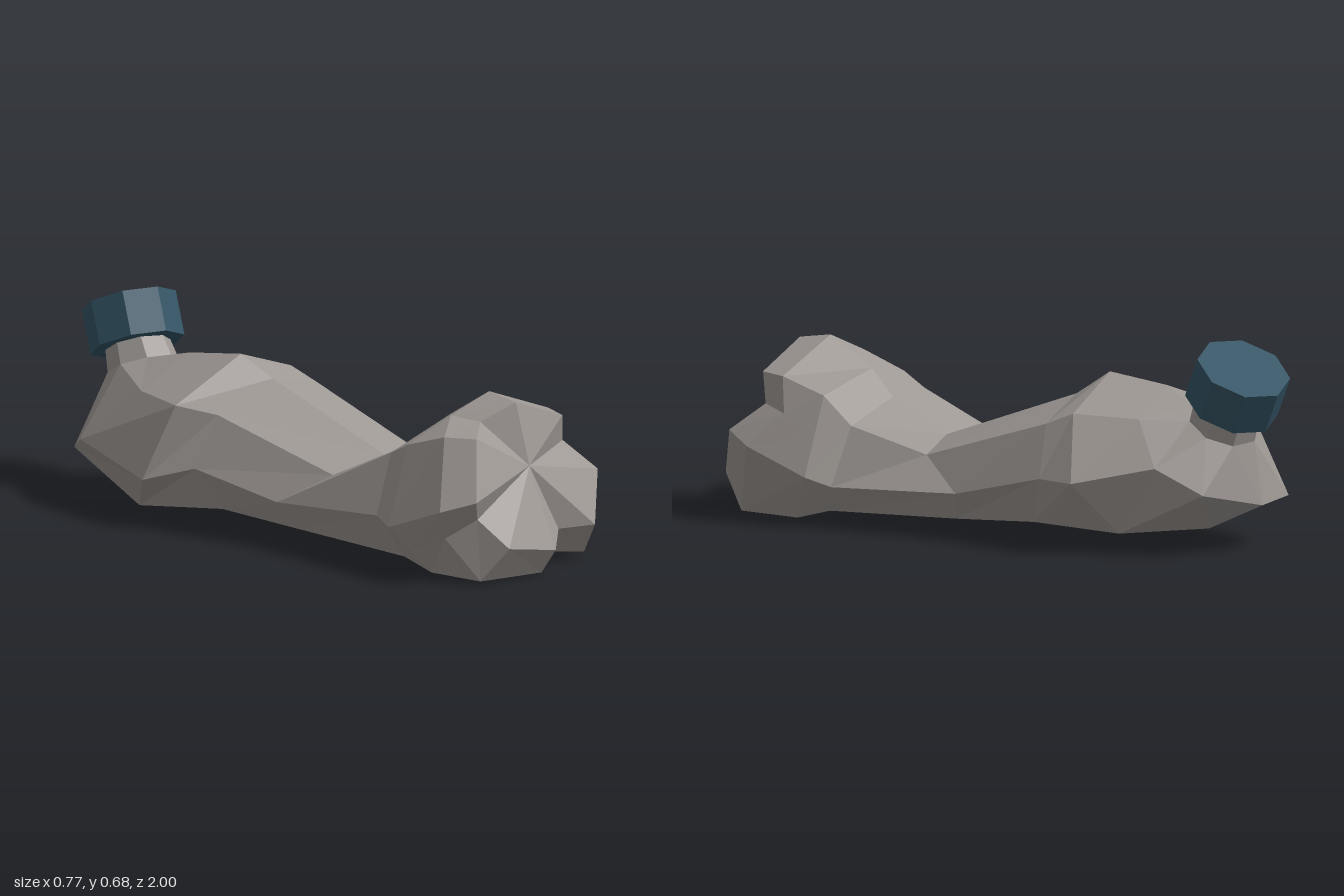
import * as THREE from 'three';

const lerp = THREE.MathUtils.lerp;
const points = (list) => list.map((p) => new THREE.Vector3(...p));

// One body cross-section of 8 points: top, then clockwise seen from the front.
// z and y: top, shoulder, side, lower, bottom; half-widths: shoulder, side, lower.
function section([zT, zU, zS, zD, zB], [yT, yU, yS, yD, yB], [wU, wS, wD], leftShift = 0, cx = 0.012) {
  return points([
    [cx, yT, zT], [cx + wU, yU, zU], [cx + wS, yS, zS], [cx + wD, yD, zD],
    [cx, yB, zB], [cx - wD, yD, zD], [cx - wS, yS + leftShift, zS], [cx - wU, yU + leftShift, zU],
  ]);
}

// Round section of the neck, square to the tilted axis
function roundSection(center, axis, radius) {
  const u = new THREE.Vector3(0, 0, 1).addScaledVector(axis, -axis.z).normalize();
  const v = new THREE.Vector3().crossVectors(axis, u);
  return Array.from({ length: 8 }, (_, k) => center.clone()
    .addScaledVector(u, radius * Math.cos(k * Math.PI / 4))
    .addScaledVector(v, radius * Math.sin(k * Math.PI / 4)));
}

// Adds four in-between points, sunk by the given depth to form the grooves between the feet
function withGrooves(ring, depth = 0) {
  const out = [];
  ring.forEach((p, i) => {
    out.push(p);
    if (i % 2) {
      const m = p.clone().lerp(ring[(i + 1) % 8], 0.5);
      if (depth) {
        m.x *= 0.98;
        m.y = lerp(m.y, 0.33, 0.08);
        m.z -= depth;
      }
      out.push(m);
    }
  });
  return out;
}

// Skin over successive rings, from front to back, with an optional fan over the first one
function skin(rings, hub) {
  const pos = [];
  const tri = (...pts) => pts.forEach((p) => pos.push(p.x, p.y, p.z));
  const n = rings[0].length;
  for (let j = 0; j < n; j++) {
    const k = (j + 1) % n;
    if (hub) tri(hub, rings[0][k], rings[0][j]);
    for (let i = 0; i + 1 < rings.length; i++) {
      const a = rings[i], b = rings[i + 1];
      tri(a[j], a[k], b[j]);
      tri(a[k], b[k], b[j]);
    }
  }
  const g = new THREE.BufferGeometry();
  g.setAttribute('position', new THREE.Float32BufferAttribute(pos, 3));
  g.computeVertexNormals();
  return g;
}

export function createModel() {
  const plastic = new THREE.MeshStandardMaterial({ color: 0x9e9894, flatShading: true });
  plastic.name = 'grey plastic';
  const blue = new THREE.MeshStandardMaterial({ color: 0x345566, flatShading: true });
  blue.name = 'dark blue';

  const model = new THREE.Group();
  model.name = 'crushedBottle';
  const add = (name, geometry, material) => {
    const mesh = new THREE.Mesh(geometry, material);
    mesh.name = name;
    model.add(mesh);
    return mesh;
  };

  const axis = new THREE.Vector3(0.036, 0.14, -0.07).normalize();
  const capBottom = new THREE.Vector3(0.021, 0.481, -0.796);
  const capHeight = 0.15;

  // Grooved foot of the bottle
  const footFace = section([0.83, 0.845, 0.92, 0.985, 1.0], [0.557, 0.475, 0.29, 0.13, 0.088], [0.215, 0.305, 0.215]);
  const footRim = section([0.715, 0.745, 0.82, 0.9, 0.94], [0.575, 0.475, 0.255, 0.016, 0.003], [0.26, 0.37, 0.26]);
  const footBack = section([0.56, 0.59, 0.6, 0.69, 0.71], [0.478, 0.425, 0.17, 0.012, 0.004], [0.262, 0.37, 0.26]);

  // Squashed waist
  const waistFront = section([0.48, 0.5, 0.52, 0.57, 0.6], [0.39, 0.33, 0.14, 0.045, 0.028], [0.24, 0.335, 0.255], 0.05);
  const waist = section([0.28, 0.23, 0.07, 0.1, 0.1], [0.284, 0.255, 0.155, 0.06, 0.045], [0.215, 0.308, 0.245]);
  const waistBack = section([-0.21, -0.235, -0.26, -0.2, -0.15], [0.465, 0.405, 0.238, 0.08, 0.056], [0.245, 0.332, 0.265], -0.02);

  // Bulging shoulder, bent upwards to the neck
  const bulge = points([
    [-0.03, 0.54, -0.31], [0.245, 0.445, -0.33], [0.383, 0.24, -0.4], [0.275, 0.07, -0.52],
    [0, 0.06, -0.7], [-0.27, 0.04, -0.54], [-0.385, 0.165, -0.43], [-0.3, 0.41, -0.36],
  ]);
  const shoulder = points([
    [-0.04, 0.512, -0.52], [0.18, 0.435, -0.54], [0.27, 0.295, -0.65], [0.215, 0.21, -0.8],
    [0, 0.155, -0.9], [-0.18, 0.16, -0.895], [-0.285, 0.225, -0.78], [-0.225, 0.41, -0.57],
  ]);
  const neckBase = roundSection(new THREE.Vector3(0.012, 0.415, -0.762), axis, 0.12);
  const neckTop = roundSection(capBottom.clone().addScaledVector(axis, 0.02), axis, 0.105);

  const hub = new THREE.Vector3(0.015, 0.352, 0.885);
  add('foot', skin([withGrooves(footFace, 0.07), withGrooves(footRim, 0.07), withGrooves(footBack)], hub), plastic);
  add('body', skin([footBack, waistFront, waist, waistBack, bulge, shoulder, neckBase]), plastic);
  add('neck', skin([neckBase, neckTop]), plastic);

  // Eight-sided screw cap
  const cap = add('cap', new THREE.CylinderGeometry(0.157, 0.157, capHeight, 8), blue);
  cap.position.copy(capBottom).addScaledVector(axis, capHeight / 2);
  cap.quaternion.setFromUnitVectors(new THREE.Vector3(0, 1, 0), axis);
  cap.rotateY(-0.17);

  return model;
}
